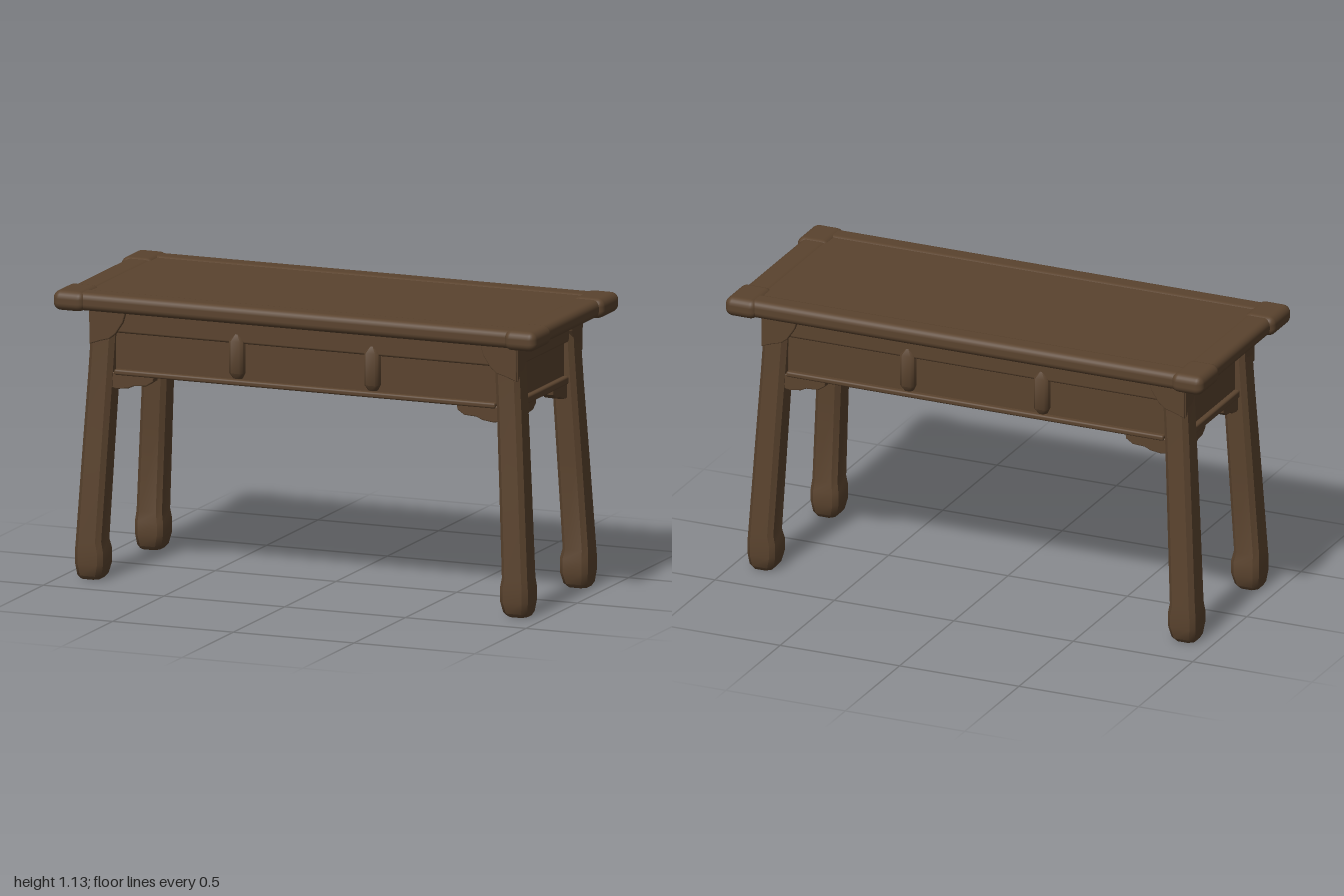
import * as THREE from 'three';
import { toCreasedNormals } from 'three/addons/utils/BufferGeometryUtils.js';
import { RoundedBoxGeometry } from 'three/addons/geometries/RoundedBoxGeometry.js';

const wood = new THREE.MeshStandardMaterial({ color: 0x5a432e });
wood.name = 'dark brown wood';

export function createModel() {
  const model = new THREE.Group();
  model.name = 'bench';

  const add = (name, geometry, parent = model) => {
    const mesh = new THREE.Mesh(geometry, wood);
    mesh.name = name;
    parent.add(mesh);
    return mesh;
  };

  // rounded box given by its extents
  const block = (name, x0, x1, y0, y1, z0, z1, r, parent) => {
    const mesh = add(name, new RoundedBoxGeometry(x1 - x0, y1 - y0, z1 - z0, 3, r), parent);
    mesh.position.set((x0 + x1) / 2, (y0 + y1) / 2, (z0 + z1) / 2);
    return mesh;
  };

  // stack of chamfered rectangles: rows of [y, xInner, xOuter, zInner, zOuter]
  const loft = (rows, sx, sz, chamfer) => {
    const pos = [], index = [];
    const n = 8;
    for (const [y, xi, xo, zi, zo] of rows) {
      const cx = sx * (xi + xo) / 2, cz = sz * (zi + zo) / 2;
      const w = (xo - xi) / 2, d = (zo - zi) / 2, c = chamfer;
      const ring = [[w, d - c], [w - c, d], [c - w, d], [-w, d - c],
        [-w, c - d], [c - w, -d], [w - c, -d], [w, c - d]];
      for (const [x, z] of ring) pos.push(cx + x, y, cz + z);
    }
    for (let r = 0; r < rows.length - 1; r++) {
      for (let i = 0; i < n; i++) {
        const a = r * n + i, b = r * n + (i + 1) % n;
        index.push(a, a + n, b, b, a + n, b + n);
      }
    }
    const t = (rows.length - 1) * n;
    for (let i = 1; i < n - 1; i++) {
      index.push(0, i, i + 1, t, t + i + 1, t + i);
    }
    const g = new THREE.BufferGeometry();
    g.setAttribute('position', new THREE.Float32BufferAttribute(pos, 3));
    g.setIndex(index);
    return toCreasedNormals(g, 0.7);
  };

  // flat carved piece, thickness along z
  const carved = (points, depth) => {
    const shape = new THREE.Shape(points.map(([x, y]) => new THREE.Vector2(x, y)));
    return new THREE.ExtrudeGeometry(shape, {
      depth: depth - 0.01, bevelEnabled: true, bevelSize: 0.004, bevelThickness: 0.005, bevelSegments: 2,
    }).translate(0, 0, 0.005);
  };

  // seat: panel, frame rails and corner caps
  const seat = new THREE.Group();
  seat.name = 'seat';
  model.add(seat);
  block('seatPanel', -0.9, 0.9, 1.065, 1.125, -0.33, 0.33, 0.005, seat);
  for (const s of [-1, 1]) {
    const z = [s * 0.312, s * 0.41].sort((a, b) => a - b);
    const x = [s * 0.872, s * 0.985].sort((a, b) => a - b);
    block('longRail', -0.95, 0.95, 1.06, 1.13, z[0], z[1], 0.026, seat);
    block('endRail', x[0], x[1], 1.06, 1.128, -0.36, 0.36, 0.026, seat);
    for (const t of [-1, 1]) {
      const cx = [s * 0.868, s].sort((a, b) => a - b);
      const cz = [t * 0.24, t * 0.422].sort((a, b) => a - b);
      block('cornerCap', cx[0], cx[1], 1.056, 1.133, cz[0], cz[1], 0.03, seat);
    }
  }

  // splayed legs with swollen feet
  const legRows = [
    [0, 0.845, 0.925, 0.25, 0.335],
    [0.015, 0.833, 0.932, 0.238, 0.347],
    [0.06, 0.822, 0.938, 0.229, 0.354],
    [0.11, 0.822, 0.938, 0.229, 0.355],
    [0.15, 0.83, 0.935, 0.238, 0.354],
    [0.5, 0.812, 0.915, 0.226, 0.337],
    [0.8, 0.796, 0.897, 0.216, 0.322],
    [0.95, 0.787, 0.888, 0.213, 0.318],
    [1.07, 0.782, 0.882, 0.213, 0.316],
  ];
  for (const sx of [-1, 1]) for (const sz of [-1, 1]) {
    add('leg', loft(legRows, sx, sz, 0.018));
  }

  // one apron facing +z, moved out or turned for each side of the frame
  const apron = (name, half, face, lowTop, posts, headIn, headOut, bracketLength) => {
    const g = new THREE.Group();
    g.name = name;
    block('upperRail', -half, half, 0.965, 1.065, face - 0.07, face, 0.01, g);
    block('apronPanel', -half, half, 0.81, 0.98, face - 0.05, face - 0.022, 0.004, g);
    block('lowerRail', -half, half, 0.8, lowTop, face - 0.07, face - 0.002, 0.008, g);
    for (const x of posts) {
      const rows = [
        [0.828, x - 0.018, x + 0.018, face - 0.055, face],
        [0.85, x - 0.029, x + 0.029, face - 0.07, face + 0.012],
        [0.975, x - 0.029, x + 0.029, face - 0.07, face + 0.012],
        [1.002, x - 0.014, x + 0.014, face - 0.055, face],
      ];
      add('post', loft(rows, 1, 1, 0.01), g);
    }
    for (const s of [-1, 1]) {
      // scrolled bracket under the rail
      const b = half, l = bracketLength;
      const bracket = add('bracket', carved([
        [b + 0.01, 0.805], [b - l, 0.805], [b - l + 0.004, 0.785], [b - l + 0.03, 0.768],
        [b - l * 0.5, 0.765], [b - l * 0.35, 0.754], [b - 0.01, 0.748], [b + 0.01, 0.752],
      ].map(([x, y]) => [s * x, y]), 0.05), g);
      bracket.position.z = face - 0.06;
      // raised head where the leg meets the rail
      const head = add('legHead', carved([
        [headOut, 1.06], [headIn, 1.06], [headIn + 0.015, 1.01], [headIn + 0.045, 0.965],
        [headIn + 0.07, 0.945], [headOut - 0.04, 0.935], [headOut, 0.92],
      ].map(([x, y]) => [s * x, y]), 0.025), g);
      head.position.z = face - 0.012;
    }
    model.add(g);
    return g;
  };
  const posts = [-0.28, 0.28];
  apron('frontApron', 0.79, 0.312, 0.822, posts, 0.735, 0.882, 0.16);
  apron('backApron', 0.79, 0.312, 0.822, posts, 0.735, 0.882, 0.16).rotation.y = Math.PI;
  apron('leftApron', 0.218, 0.875, 0.832, [], 0.2, 0.315, 0.135).rotation.y = Math.PI / 2;
  apron('rightApron', 0.218, 0.875, 0.832, [], 0.2, 0.315, 0.135).rotation.y = -Math.PI / 2;

  return model;
}
